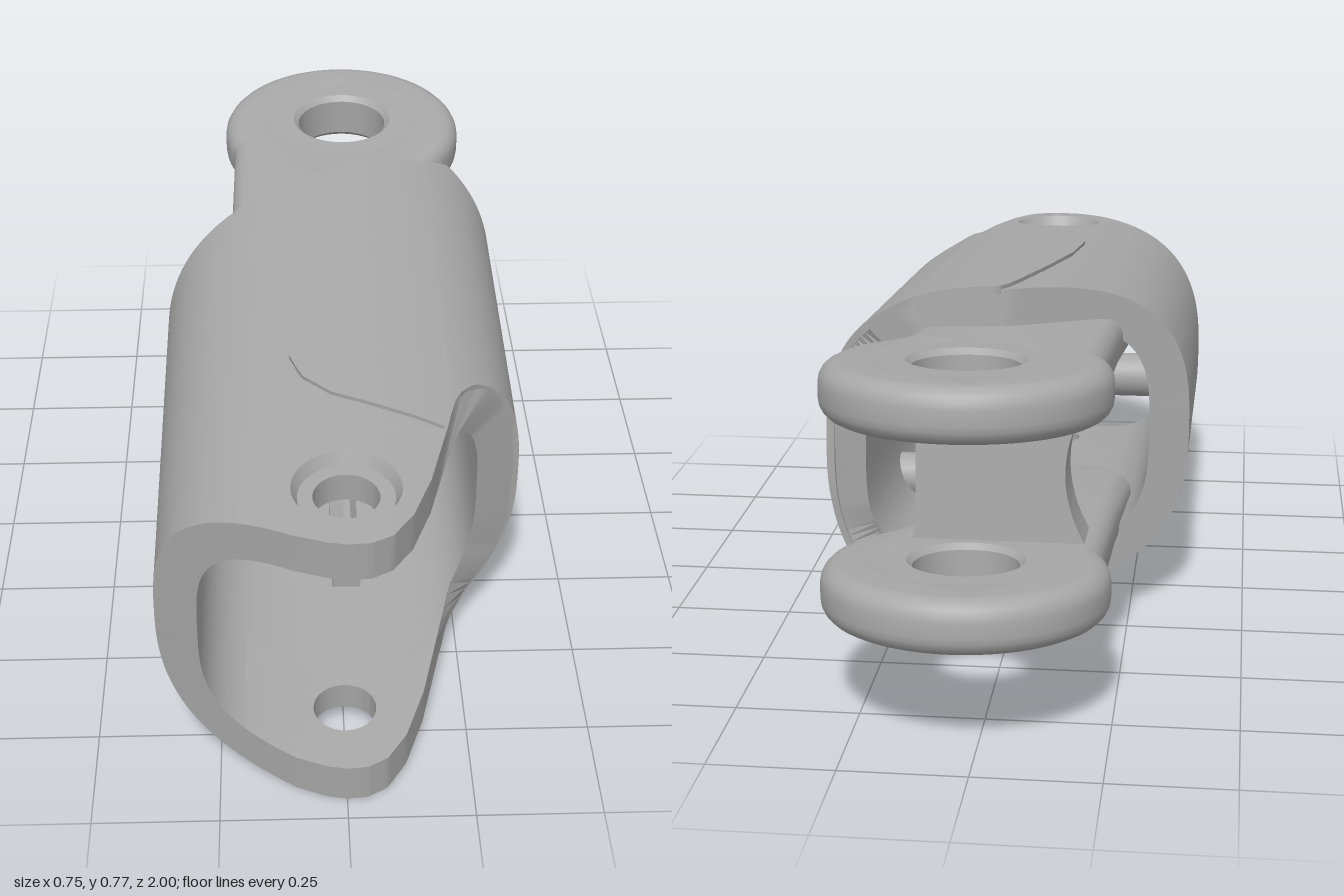
import * as THREE from 'three';
import { toCreasedNormals } from 'three/addons/utils/BufferGeometryUtils.js';

// Outer section of the sleeve: a rounded square (superellipse), squarer toward the inside
const A = 0.372, B = 0.33, WALL = 0.085;
const exponent = inset => 2.75 + 7 * inset;

// Piecewise linear lookup
function lookup(table, x) {
  if (x <= table[0][0]) return table[0][1];
  for (let i = 1; i < table.length; i++) {
    const [x0, z0] = table[i - 1], [x1, z1] = table[i];
    if (x <= x1) return z0 + (z1 - z0) * (x - x0) / (x1 - x0);
  }
  return table[table.length - 1][1];
}

// Front and back ends of the sleeve, as [x, z]
const FRONT = [[-0.37, 0.78], [-0.3, 0.825], [-0.2, 0.885], [-0.1, 0.945], [-0.04, 0.968], [0, 0.975], [0.04, 0.972],
  [0.08, 0.95], [0.12, 0.89], [0.16, 0.78], [0.2, 0.62], [0.23, 0.5], [0.27, 0.435], [0.34, 0.38], [0.37, 0.365]];
const BACK = [[-0.37, -0.1], [0, -0.335], [0.2, -0.375], [0.28, -0.425], [0.37, -0.36]];
const TAB_X = 0.2, TAB_Z = 0.62;

// Cover panel limits
const COVER_FRONT = [[-0.1, 0.4], [-0.08, 0.47], [-0.02, 0.53], [0.1, 0.585], ...FRONT.slice(10)];
const COVER_BACK = [[-0.1, 0.4], [-0.09, 0.2], [-0.05, -0.05], [0, -0.3], [0.02, -0.345],
  ...BACK.slice(2).map(([x, z]) => [x, z - 0.01])];

function height(x, inset) {
  const n = exponent(inset);
  return (B - inset) * Math.pow(1 - Math.pow(Math.abs(x) / (A - inset), n), 1 / n);
}

const angleAt = x => Math.atan2(height(x, 0), x);

function sectionPoint(phi, inset) {
  const c = Math.cos(phi), s = Math.sin(phi), n = exponent(inset);
  const r = Math.pow(Math.pow(Math.abs(c) / (A - inset), n) + Math.pow(Math.abs(s) / (B - inset), n), -1 / n);
  return [r * c, r * s];
}

// Solid skinned over a row of closed loops; either ringed or capped at both ends
function loft(rows, ring) {
  const m = rows[0].length, n = rows.length, idx = [];
  const pos = rows.flat(2);
  for (let i = 0; i < (ring ? n : n - 1); i++) {
    for (let j = 0; j < m; j++) {
      const k = (i + 1) % n, l = (j + 1) % m;
      const a = i * m + j, b = k * m + j, c = k * m + l, d = i * m + l;
      idx.push(a, b, c, a, c, d);
    }
  }
  if (!ring) {
    const e = (n - 1) * m;
    for (let j = 1; j < m - 1; j++) idx.push(0, j, j + 1, e, e + j + 1, e + j);
  }
  // Turn the faces outward if the solid came out inverted
  let vol = 0;
  const v = i => new THREE.Vector3().fromArray(pos, i * 3);
  for (let i = 0; i < idx.length; i += 3) vol += v(idx[i]).dot(v(idx[i + 1]).cross(v(idx[i + 2])));
  if (vol < 0) idx.reverse();
  const g = new THREE.BufferGeometry();
  g.setAttribute('position', new THREE.Float32BufferAttribute(pos, 3));
  g.setIndex(idx);
  return toCreasedNormals(g, 0.5);
}

// Part of the sleeve wall between two angles, its ends cut straight down through the wall
function band(from, to, segments, back, front, outInset, inInset) {
  const rows = [];
  for (let i = 0; i <= segments; i++) {
    const phi = from + (to - from) * i / segments;
    const [xo, yo] = sectionPoint(phi, outInset), [xi, yi] = sectionPoint(phi, inInset);
    rows.push([[xo, yo, back(xo)], [xo, yo, front(xo)], [xi, yi, front(xi)], [xi, yi, back(xi)]]);
  }
  return loft(rows, false);
}

// Front tab with a counterbored pin hole; side is 1 for top, -1 for bottom
function tab(side) {
  const cz = 0.81, hole = 0.063, bore = 0.104;
  const corners = FRONT.filter(([x]) => x >= -TAB_X && x <= TAB_X);
  corners.push([0.1, TAB_Z], [0, TAB_Z], [-0.1, TAB_Z], [-TAB_X, TAB_Z], [-TAB_X, 0.75]);
  const rows = [];
  corners.forEach(([x0, z0], i) => {
    const [x1, z1] = corners[(i + 1) % corners.length];
    for (let k = 0; k < 5; k++) {
      const px = x0 + (x1 - x0) * k / 5, pz = z0 + (z1 - z0) * k / 5 - cz;
      const R = Math.hypot(px, pz), mid = (R + bore) / 2;
      const at = (r, inset, drop = 0) => {
        const x = px / R * r;
        return [x, side * (height(x, inset) - drop), cz + pz / R * r];
      };
      rows.push([at(R, 0), at(mid, 0), at(bore, 0), at(bore - 0.012, 0, 0.025), at(hole, 0, 0.025),
        at(hole, WALL), at(mid, WALL), at(R, WALL)]);
    }
  });
  return loft(rows, true);
}

// Hinge lug running into a flat arm, with one rounded rim all round
const LUG_X = 0.04, LUG_Z = -0.702;
function lugArm() {
  const s = new THREE.Shape();
  s.absarc(LUG_X, LUG_Z, 0.283, 2.736, 2 * Math.PI + 0.785, false);
  s.quadraticCurveTo(0.2, -0.46, 0.2, -0.4);
  s.lineTo(0.2, 0);
  s.lineTo(0.12, 0.12);
  s.lineTo(-0.17, 0.12);
  s.lineTo(-0.24, 0.03);
  s.lineTo(-0.225, -0.25);
  s.closePath();
  s.holes.push(new THREE.Path().absarc(LUG_X, LUG_Z, 0.13, 0, 2 * Math.PI, true));
  const g = new THREE.ExtrudeGeometry(s, { depth: 0.03, bevelEnabled: true, bevelThickness: 0.04,
    bevelSize: 0.04, bevelOffset: -0.04, bevelSegments: 5, curveSegments: 48 });
  g.translate(0, 0, -0.015).rotateX(Math.PI / 2);
  return toCreasedNormals(g, 0.6);
}

// Bushing that lines the lug hole
function bushing() {
  const h = 0.055, r = 0.105, R = 0.175;
  const pts = [[r, 0.012 - h], [r + 0.012, -h], [R, -h], [R, h], [r + 0.012, h], [r, h - 0.012], [r, 0.012 - h]]
    .map(([x, y]) => new THREE.Vector2(x, y));
  return toCreasedNormals(new THREE.LatheGeometry(pts, 48), 0.6);
}

// Web between the two arms, hollowed on one side
function webGeometry() {
  const s = new THREE.Shape();
  s.moveTo(0.18, -0.16);
  s.quadraticCurveTo(0.16, -0.14, 0.16, -0.1);
  s.lineTo(0.16, 0.1);
  s.quadraticCurveTo(0.16, 0.14, 0.18, 0.16);
  s.lineTo(-0.19, 0.16);
  s.quadraticCurveTo(-0.09, 0, -0.19, -0.16);
  s.closePath();
  const g = new THREE.ExtrudeGeometry(s, { depth: 0.125, bevelEnabled: false, curveSegments: 14 });
  g.translate(0, 0, -0.567);
  return toCreasedNormals(g, 0.6);
}

export function createModel() {
  const model = new THREE.Group();
  model.name = 'fingerLink';
  const body = new THREE.Group();
  body.name = 'tiltedBody';
  body.position.y = 0.405;
  body.rotation.x = 0.08;
  model.add(body);

  const grey = new THREE.MeshStandardMaterial({ color: 0xa8a8a8 });
  grey.name = 'plainGrey';
  const add = (name, geometry, x = 0, y = 0, z = 0) => {
    const mesh = new THREE.Mesh(geometry, grey);
    mesh.name = name;
    mesh.position.set(x, y, z);
    body.add(mesh);
    return mesh;
  };

  // Sleeve walls
  const front = x => lookup(FRONT, x), back = x => lookup(BACK, x);
  const right = angleAt(TAB_X), left = angleAt(-TAB_X);
  add('longSideWall', band(left, 2 * Math.PI - left, 56, back, front, 0, WALL));
  add('shortSideWall', band(-right, right, 56, back, front, 0, WALL));
  add('topWall', band(right, left, 16, back, () => TAB_Z, 0, WALL));
  add('bottomWall', band(-left, -right, 16, back, () => TAB_Z, 0, WALL));

  // Raised cover wrapped over the short side
  const seam = angleAt(-0.1);
  add('coverPanel', band(-seam, seam, 96, x => lookup(COVER_BACK, x), x => lookup(COVER_FRONT, x), -0.008, 0.01));

  // Mirrored tabs, lugs and arms
  for (const [side, label] of [[1, 'top'], [-1, 'bottom']]) {
    add(label + 'PinTab', tab(side));
    add(label + 'LugArm', lugArm(), 0, side * 0.198, 0);
    add(label + 'Bushing', bushing(), LUG_X, side * 0.198, LUG_Z);
    // Short stops on the inside of the short side
    const stop = add(label + 'Stop', new THREE.CylinderGeometry(0.05, 0.05, 0.09, 24), 0.275, side * 0.155, 0);
    stop.rotation.z = Math.PI / 2;
  }
  add('hingeWeb', webGeometry());

  // Peg on the long side and guide rail on the floor
  add('sidePeg', new THREE.CylinderGeometry(0.052, 0.052, 0.14, 28), -0.24, 0.003, 0.44).rotation.z = Math.PI / 2;
  const rail = new THREE.Shape([[-0.03, 0], [0.03, 0], [0.03, 0.03], [0.015, 0.052], [0, 0.052], [-0.03, 0.03]]
    .map(([x, y]) => new THREE.Vector2(x, y)));
  add('guideRail', new THREE.ExtrudeGeometry(rail, { depth: 0.4, bevelEnabled: false }), 0.015, -0.25, 0.05);
  return model;
}
